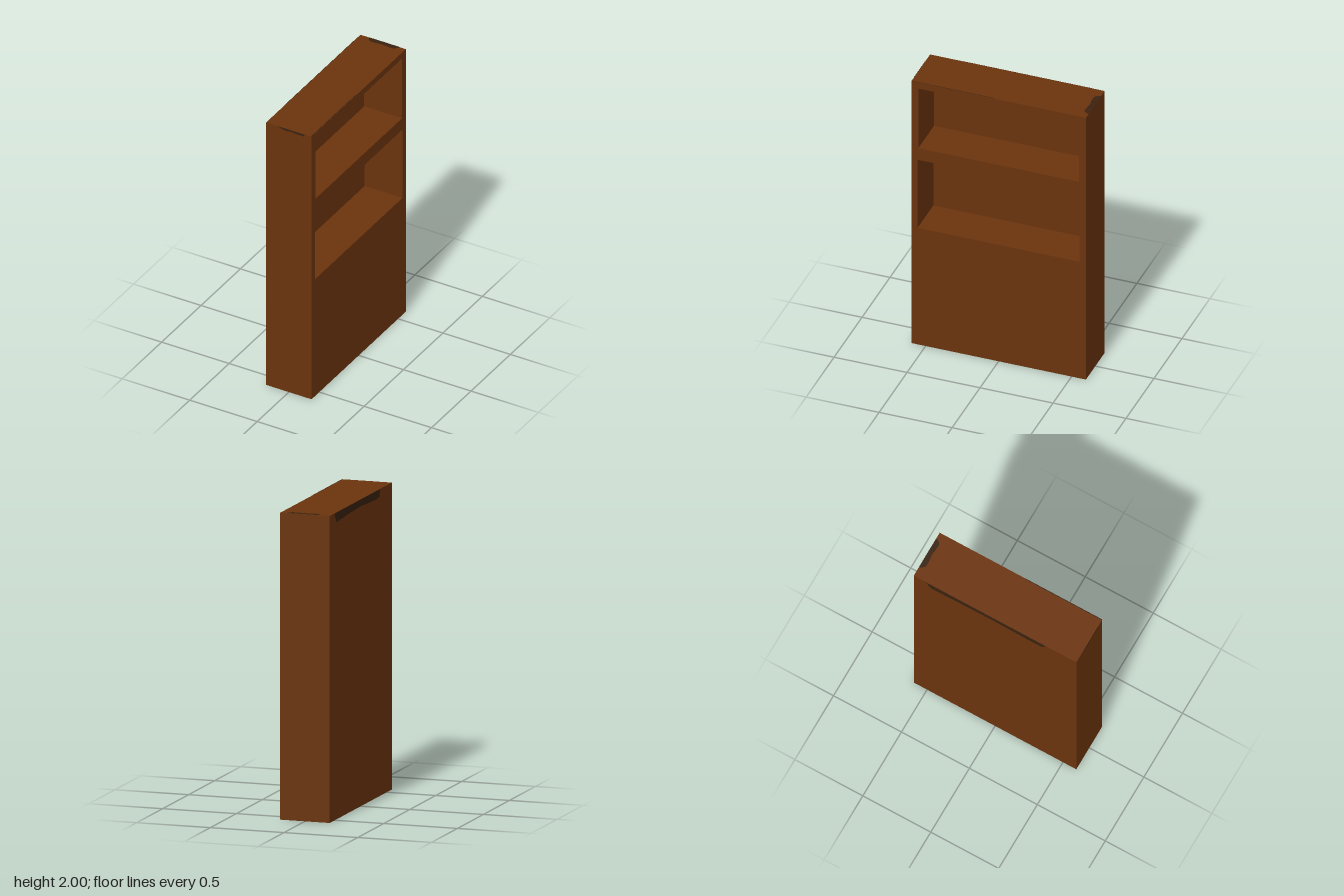
import * as THREE from 'three';

const X = 0.168, H = 2, Z = 0.598, DEPTH = 0.28;

// Recesses in the right side: bottom, top, half width
const NICHES = [
  { name: 'upperNiche', y0: 1.5, y1: 1.955, hw: 0.55 },
  { name: 'lowerNiche', y0: 0.89, y1: 1.41, hw: 0.555 },
];

export function createModel() {
  const group = new THREE.Group();
  const wood = new THREE.MeshStandardMaterial({ color: 0x6b340d, side: THREE.DoubleSide });
  wood.name = 'brownWood';
  const dark = new THREE.MeshStandardMaterial({ color: 0x3a2210, side: THREE.DoubleSide });
  dark.name = 'darkWear';

  const add = (parent, name, geometry, material, position, ry = 0, rx = 0) => {
    const mesh = new THREE.Mesh(geometry, material);
    mesh.name = name;
    mesh.position.set(...position);
    mesh.rotation.set(rx, ry, 0);
    parent.add(mesh);
  };
  const plane = (w, h) => new THREE.PlaneGeometry(w, h);
  const outline = (points) => points.map(([u, v]) => new THREE.Vector2(u, v));
  const Q = Math.PI / 2;

  // Thin outer shell, open underneath
  add(group, 'frontPanel', plane(2 * X, H), wood, [0, H / 2, Z]);
  add(group, 'backPanel', plane(2 * X, H), wood, [0, H / 2, -Z], Math.PI);
  add(group, 'plainSide', plane(2 * Z, H), wood, [-X, H / 2, 0], -Q);
  add(group, 'topPanel', plane(2 * X, 2 * Z), wood, [0, H, 0], 0, -Q);

  // Side with the two openings
  const side = new THREE.Shape(outline([[-Z, 0], [Z, 0], [Z, H], [-Z, H]]));
  for (const { y0, y1, hw } of NICHES) {
    side.holes.push(new THREE.Path(outline([[-hw, y0], [-hw, y1], [hw, y1], [hw, y0]])));
  }
  add(group, 'openSide', new THREE.ShapeGeometry(side), wood, [X, 0, 0], Q);

  // Inside faces of each recess
  for (const { name, y0, y1, hw } of NICHES) {
    const niche = new THREE.Group();
    niche.name = name;
    const cx = X - DEPTH / 2, cy = (y0 + y1) / 2, h = y1 - y0;
    add(niche, 'nicheBack', plane(2 * hw, h), wood, [X - DEPTH, cy, 0], Q);
    add(niche, 'nicheFloor', plane(DEPTH, 2 * hw), wood, [cx, y0, 0], 0, -Q);
    add(niche, 'nicheCeiling', plane(DEPTH, 2 * hw), wood, [cx, y1, 0], 0, Q);
    add(niche, 'nicheFrontWall', plane(DEPTH, h), wood, [cx, cy, hw], Math.PI);
    add(niche, 'nicheBackWall', plane(DEPTH, h), wood, [cx, cy, -hw]);
    group.add(niche);
  }

  // Dark worn patches along the top edges
  const patch = (points) => new THREE.ShapeGeometry(new THREE.Shape(outline(points)));
  const E = 0.0015;
  add(group, 'frontWear', patch([
    [-0.08, H], [-0.06, 1.99], [-0.02, 1.984], [0.02, 1.988], [0.06, 1.984], [0.11, 1.984], [0.12, H],
  ]), dark, [0, 0, Z + E]);
  add(group, 'topEndWear', patch([
    [-0.1, Z], [-0.1, 0.583], [-0.077, 0.56], [-0.03, 0.56], [0.01, 0.567],
    [0.05, 0.562], [0.097, 0.56], [0.12, 0.583], [0.12, Z],
  ]), dark, [0, H + E, 0], 0, -Q);
  add(group, 'topEdgeWear', patch([
    [X - 0.005, -Z], [X, -Z], [X, -0.03], [X - 0.005, -0.04],
  ]), dark, [0, H + E, 0], 0, -Q);
  add(group, 'plainSideWear', patch([
    [-0.51, H], [-0.47, 1.935], [-0.4, 1.94], [-0.2, 1.95], [0, 1.955],
    [0.28, 1.945], [0.35, 1.95], [0.375, H],
  ]), dark, [-X - E, 0, 0], -Q);

  return group;
}
